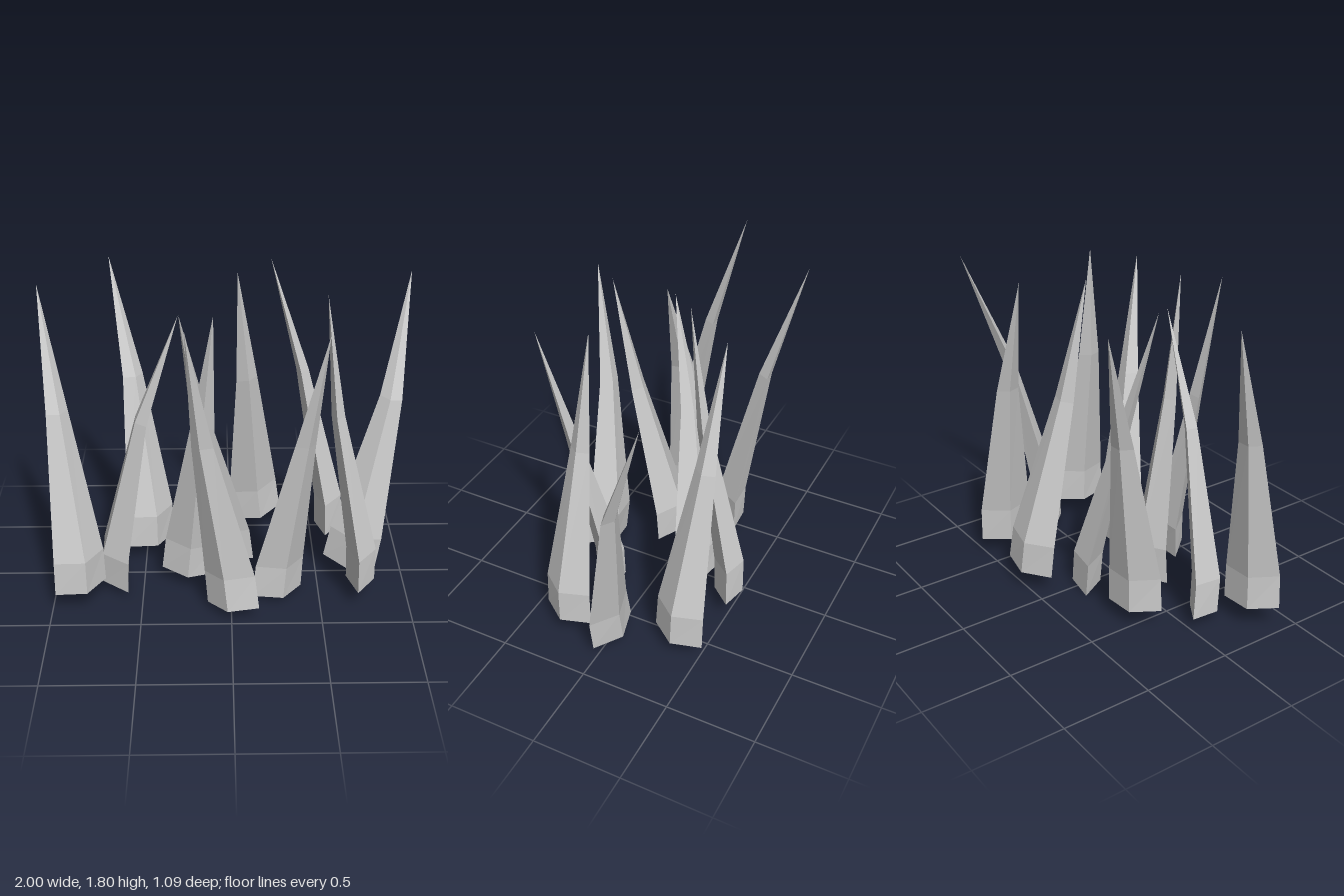
import * as THREE from 'three';

// Cross-sections of a blade below its bend: [height, centre z, half width, half thickness]
const SECTIONS = [
  [0, 0, 0.155, 0.08],
  [0.2, -0.005, 0.15, 0.082],
  [1.02, -0.17, 0.063, 0.036],
];
const BEND = new THREE.Vector3(0, 1.02, -0.17);
const UP = new THREE.Vector3(0, 1, 0);

// Each blade: foot centre, facing of its outer ridge in degrees, x and z of the bend, tip
const BLADES = [
  { foot: [-0.84, 0.145, 0.315], facing: 31, bend: [-0.92, 0.17], tip: [-1, 1.82, 0] },
  { foot: [-0.47, 0.12, -0.195], facing: 31, bend: [-0.55, -0.34], tip: [-0.67, 1.79, -0.51] },
  { foot: [-0.66, 0.08, 0.13], facing: -59, bend: [-0.48, 0.15], tip: [-0.27, 1.7, 0.14] },
  { foot: [-0.24, 0.1, 0.095], facing: 175, bend: [-0.15, 0.265], tip: [-0.09, 1.79, 0.37] },
  { foot: [0.01, 0.03, -0.19], facing: 146, bend: [-0.175, -0.055], tip: [-0.27, 1.68, 0.09] },
  { foot: [0.165, 0.14, -0.47], facing: 200, bend: [0.095, -0.26], tip: [0.04, 1.82, -0.15] },
  { foot: [0.6, 0.12, -0.37], facing: 80, bend: [0.42, -0.425], tip: [0.23, 1.8, -0.44] },
  { foot: [0.695, 0.08, -0.01], facing: -12, bend: [0.9, -0.14], tip: [1, 1.75, -0.37] },
  { foot: [0.73, 0.14, 0.24], facing: 80, bend: [0.565, 0.215], tip: [0.49, 1.82, 0.18] },
  { foot: [0.26, 0.05, 0.235], facing: 204, bend: [0.385, 0.375], tip: [0.48, 1.74, 0.5] },
  { foot: [0.01, 0.08, 0.41], facing: 158, bend: [-0.15, 0.45], tip: [-0.23, 1.78, 0.54] },
];

// Hollow diamond-section blade: the lower part leans to its bend, then runs to the tip
function bladeGeometry({ foot, facing, bend, tip }) {
  const turn = new THREE.Quaternion().setFromAxisAngle(UP, THREE.MathUtils.degToRad(facing));
  const from = BEND.clone().applyQuaternion(turn).normalize();
  const to = new THREE.Vector3(bend[0] - foot[0], BEND.y, bend[1] - foot[2]).normalize();
  const pose = new THREE.Quaternion().setFromUnitVectors(from, to).multiply(turn);

  const positions = [];
  for (const [y, z, w, t] of SECTIONS) {
    for (const [x, dz] of [[w, 0], [0, t], [-w, 0], [0, -t]]) {
      const p = new THREE.Vector3(x, y, z + dz).applyQuaternion(pose);
      positions.push(p.x + foot[0], p.y + foot[1], p.z + foot[2]);
    }
  }
  positions.push(...tip);

  const index = [];
  const last = SECTIONS.length - 1;
  const tipIndex = SECTIONS.length * 4;
  for (let s = 0; s <= last; s++) {
    for (let i = 0; i < 4; i++) {
      const a = s * 4 + i;
      const b = s * 4 + ((i + 1) % 4);
      if (s < last) index.push(a, a + 4, b, b, a + 4, b + 4);
      else index.push(a, tipIndex, b);
    }
  }
  const geometry = new THREE.BufferGeometry();
  geometry.setAttribute('position', new THREE.Float32BufferAttribute(positions, 3));
  geometry.setIndex(index);
  const flat = geometry.toNonIndexed();
  flat.computeVertexNormals();
  return flat;
}

export function createModel() {
  const group = new THREE.Group();
  group.name = 'grassTuft';
  const material = new THREE.MeshStandardMaterial({
    color: 0xcccccc,
    flatShading: true,
    side: THREE.DoubleSide, // the feet are open
  });
  BLADES.forEach((data, i) => {
    const blade = new THREE.Mesh(bladeGeometry(data), material);
    blade.name = `blade${i + 1}`;
    group.add(blade);
  });
  return group;
}
